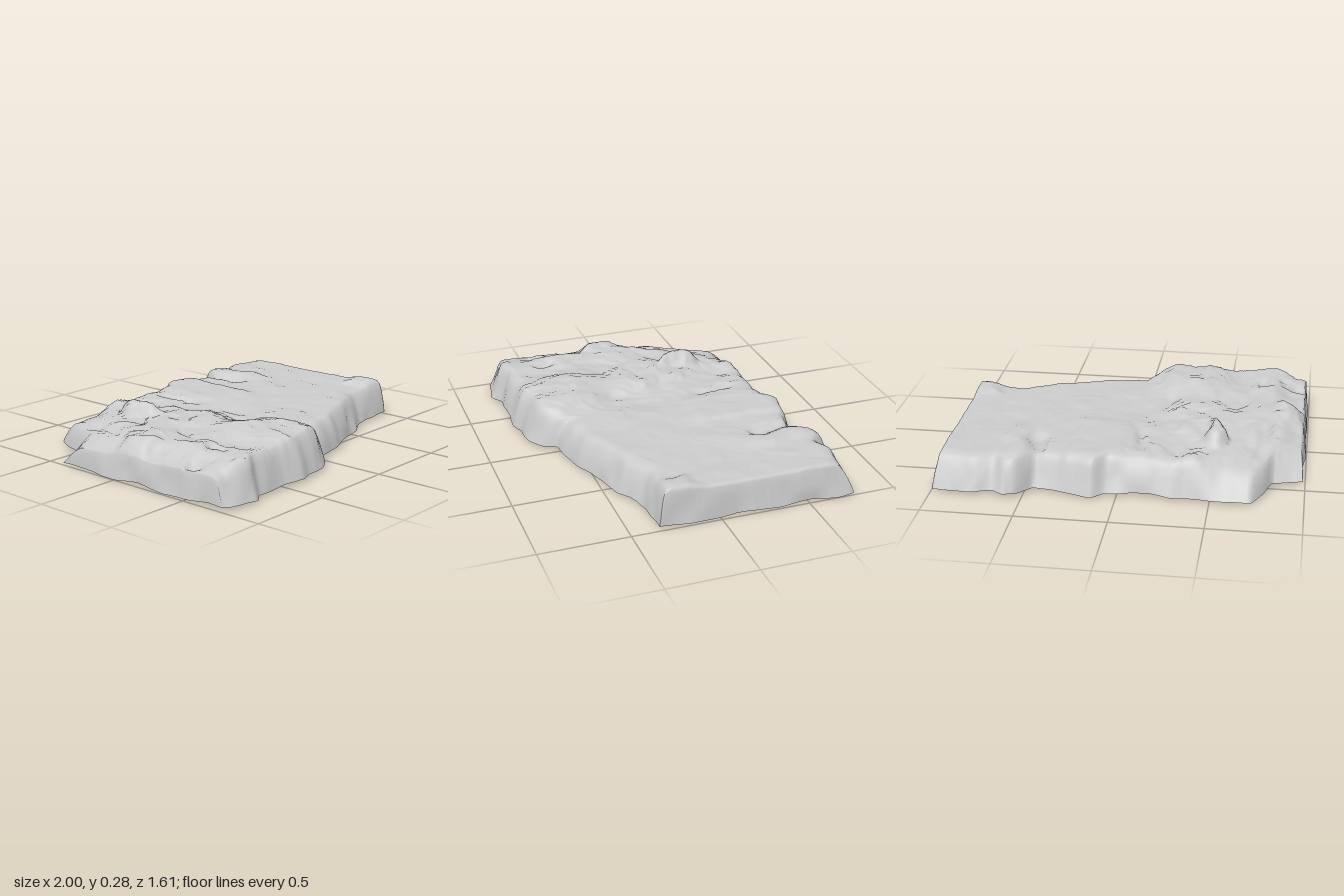
import * as THREE from 'three';

const { lerp, smoothstep, clamp } = THREE.MathUtils;

// Plan outline of the slab as [x, z] points along the back and front rims
const BACK = [[-1, -0.39], [-0.95, -0.42], [-0.82, -0.48], [-0.78, -0.6], [-0.72, -0.7], [-0.6, -0.71],
  [-0.4, -0.7], [0.07, -0.69], [0.13, -0.74], [0.3, -0.71], [0.46, -0.68], [0.54, -0.79], [0.6, -0.81],
  [0.66, -0.765], [0.75, -0.785], [1, -0.755]];
const FRONT = [[-1, 0.75], [-0.94, 0.78], [-0.77, 0.8], [-0.7, 0.77], [-0.36, 0.77], [-0.15, 0.73],
  [-0.05, 0.67], [-0.03, 0.61], [0.07, 0.6], [0.22, 0.56], [0.42, 0.48], [0.56, 0.43], [0.7, 0.36], [1, 0.35]];
// Crack between the raised left block and the lower right slab, as [z, x]
const CRACK = [[-0.75, -0.1], [-0.4, -0.15], [-0.2, -0.28], [0.2, -0.2], [0.4, -0.14], [0.55, -0.08], [0.8, -0.05]];
// Local lumps and dents: x, z, radius in x, radius in z, height
const BUMPS = [
  [-0.5, -0.3, 0.045, 0.1, 0.075], [-0.42, -0.28, 0.12, 0.15, 0.015], [-0.9, 0.1, 0.06, 0.1, 0.045],
  [-0.74, -0.2, 0.06, 0.1, 0.02], [-0.33, 0.5, 0.22, 0.25, 0.028], [0.9, 0.2, 0.08, 0.1, 0.025],
  [0.58, -0.5, 0.06, 0.2, 0.015], [0.47, -0.5, 0.04, 0.12, -0.03], [-0.9, 0.52, 0.07, 0.07, -0.03],
  [-0.7, 0.48, 0.03, 0.07, -0.025], [-0.09, -0.4, 0.03, 0.1, -0.02],
];

function along(points, t) {
  let k = 1;
  while (k < points.length - 1 && points[k][0] < t) k++;
  const [a, b] = [points[k - 1], points[k]];
  return lerp(a[1], b[1], clamp((t - a[0]) / (b[0] - a[0]), 0, 1));
}

// Seeded value noise in -1..1, left unsmoothed so that it breaks into facets
function hash(i, j) {
  const s = Math.sin(i * 127.1 + j * 311.7 + 4.2) * 43758.5453;
  return (s - Math.floor(s)) * 2 - 1;
}
function noise(x, y) {
  const i = Math.floor(x), j = Math.floor(y);
  const u = x - i, v = y - j;
  return lerp(lerp(hash(i, j), hash(i + 1, j), u), lerp(hash(i, j + 1), hash(i + 1, j + 1), u), v);
}

// Height of the weathered top
function topHeight(x, z) {
  const edge = along(CRACK, z) + noise(z * 14, 3) * 0.02;
  const raised = 1 - smoothstep(x, edge - 0.04, edge + 0.02);
  let y = 0.2 + 0.022 * raised * smoothstep(z, -0.5, 0.1);
  // Worn left flank and back left corner
  y -= 0.05 * (1 - smoothstep(x, -0.97, -0.78));
  y -= 0.04 * (1 - smoothstep(x + z * 0.8, -1.2, -0.8));
  // Thin layer with a broken edge at the back
  const layer = 0.28 + noise(z * 9, 8) * 0.03;
  y += 0.012 * smoothstep(x, -0.05, 0.02) * (1 - smoothstep(x, layer, layer + 0.025)) * (1 - smoothstep(z, -0.2, -0.1));
  const wx = x + noise(x * 9, z * 9) * 0.03, wz = z + noise(z * 9 + 7, x * 9) * 0.05;
  for (const [bx, bz, rx, rz, h] of BUMPS) {
    y += h * Math.exp(-(((wx - bx) / rx) ** 4) - ((wz - bz) / rz) ** 4);
  }
  // Stepped strata, rougher on the left
  const rough = lerp(0.35, 1, 1 - smoothstep(x, -0.3, 0.1));
  const n = (noise(x * 7 + z * 2, z * 4 - x) + 0.5 * noise(x * 13, z * 10)) * 2;
  const strata = Math.floor(n) + smoothstep(n - Math.floor(n), 0.65, 1);
  return y + rough * (strata * 0.009 + noise(x * 16, z * 13) * 0.007);
}

// Rock shell: the outermost rings of the grid fold up into the side walls, underside open
function rockShell() {
  const NX = 120, NZ = 100, RINGS = 6;
  const inset = [0, 0.16, 0.34, 0.54, 0.76, 1, 1.4];
  const rise = [0, 0.25, 0.5, 0.73, 0.91, 0.98, 1];
  const spread = (k, n, lo, hi, padLo, padHi) => {
    if (k <= RINGS) return lo + padLo * inset[k];
    if (n - k <= RINGS) return hi - padHi * inset[n - k];
    return lerp(lo + padLo * inset[RINGS], hi - padHi * inset[RINGS], (k - RINGS) / (n - 2 * RINGS));
  };
  const positions = [], index = [];
  for (let j = 0; j <= NZ; j++) {
    for (let i = 0; i <= NX; i++) {
      let x = spread(i, NX, -0.99, 0.99, 0.02, 0.025);
      // The back slopes more gently on the left
      const backPad = lerp(0.17, 0.1, smoothstep(x, -0.9, -0.2)) + noise(x * 9, 2) * 0.02;
      const frontPad = lerp(0.085, 0.05, smoothstep(x, 0.7, 1)) + noise(x * 9, 6) * 0.015;
      let z = spread(j, NZ, along(BACK, x), along(FRONT, x), backPad, frontPad);
      const ring = Math.min(i, NX - i, j, NZ - j, RINGS);
      const wall = 1 - ring / RINGS;
      const base = 0.015 + noise(x * 6, z * 6) * 0.012;
      const y = lerp(base, topHeight(x, z), rise[ring]);
      // Chipped wall faces
      const sideX = Math.min(i, NX - i) < RINGS ? 1 : 0;
      const sideZ = Math.min(j, NZ - j) < RINGS ? 1 : 0;
      x += sideX * wall * noise(z * 11, y * 12) * 0.01;
      z += sideZ * Math.sqrt(wall) * noise(x * 14, y * 10 + 5) * 0.015;
      positions.push(x, y, z);
      if (i < NX && j < NZ) {
        const a = j * (NX + 1) + i, b = a + 1, c = a + NX + 1, d = c + 1;
        // Turn the diagonal at two of the corners so the wall folds cleanly
        if ((i < NX / 2) === (j < NZ / 2)) index.push(a, c, d, a, d, b);
        else index.push(a, c, b, b, c, d);
      }
    }
  }
  const geometry = new THREE.BufferGeometry();
  geometry.setAttribute('position', new THREE.Float32BufferAttribute(positions, 3));
  geometry.setIndex(index);
  geometry.computeVertexNormals();
  return geometry;
}

export function createModel() {
  const group = new THREE.Group();
  group.name = 'rockSlab';
  const material = new THREE.MeshStandardMaterial({ color: 0xcccccc, side: THREE.DoubleSide });
  const rock = new THREE.Mesh(rockShell(), material);
  rock.name = 'rockShell';
  group.add(rock);
  return group;
}
